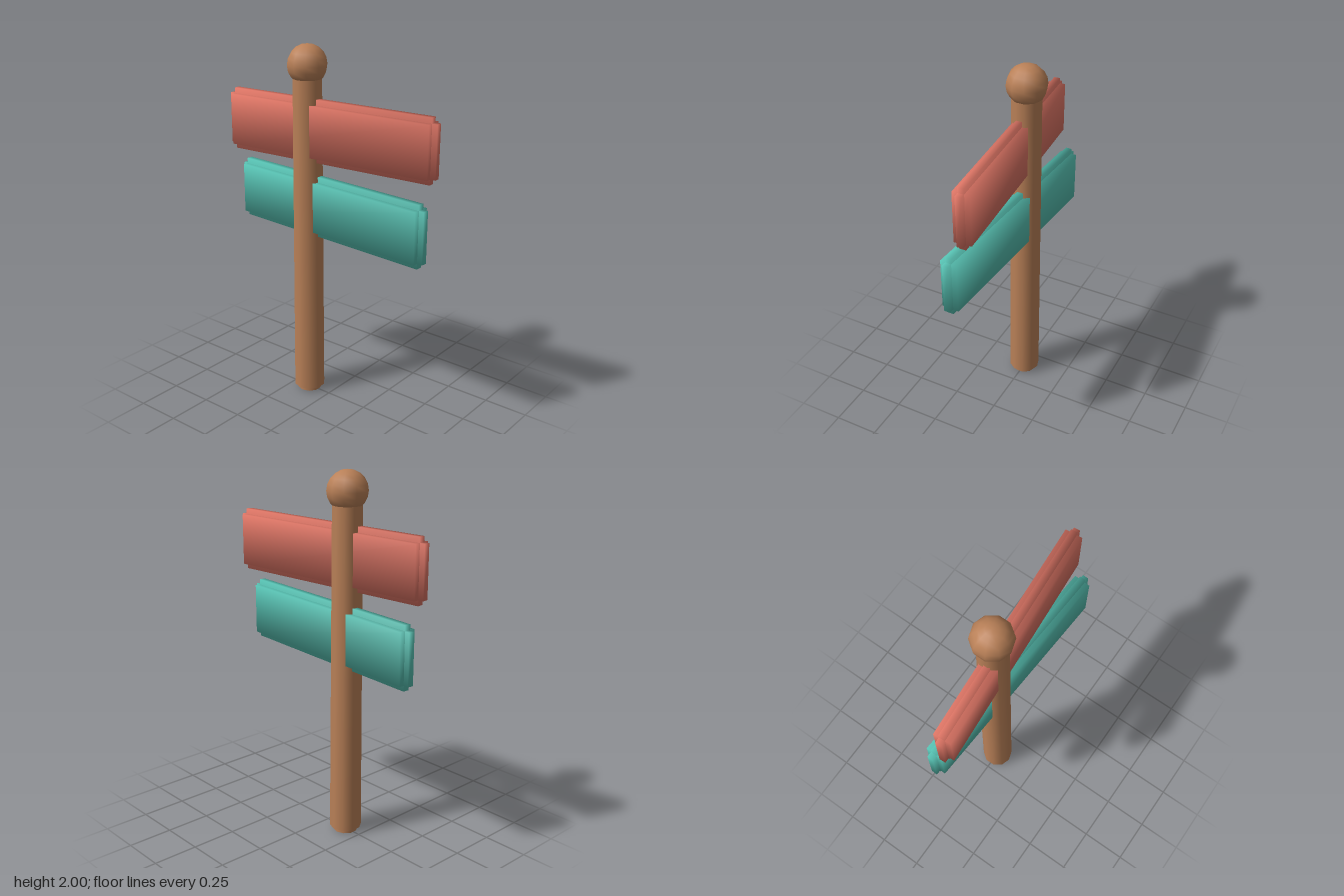
import * as THREE from 'three';

const wood = new THREE.MeshStandardMaterial({ color: 0xb98057 });
wood.name = 'wood';
const red = new THREE.MeshStandardMaterial({ color: 0xde7565 });
red.name = 'coral red';
const teal = new THREE.MeshStandardMaterial({ color: 0x57c2b3 });
teal.name = 'teal';

const POST_X = -0.143;
const SIDES = 10;

function addMesh(parent, name, geometry, material, x, y) {
  const mesh = new THREE.Mesh(geometry, material);
  mesh.name = name;
  mesh.position.set(x, y, 0);
  parent.add(mesh);
  return mesh;
}

// Box whose corner normals point diagonally outwards, for soft shading
function softBox(w, h, d) {
  const geometry = new THREE.BoxGeometry(w, h, d);
  const { position, normal } = geometry.attributes;
  const n = new THREE.Vector3();
  for (let i = 0; i < position.count; i++) {
    n.set(
      Math.sign(position.getX(i)),
      Math.sign(position.getY(i)),
      Math.sign(position.getZ(i))
    ).normalize();
    normal.setXYZ(i, n.x, n.y, n.z);
  }
  return geometry;
}

// Board with stepped edges: three crossing slabs, each full size on one axis
function board(name, material, y, turn) {
  const size = [1.28, 0.34, 0.094];
  const step = 0.06;
  const group = new THREE.Group();
  group.name = name;
  ['boardEnds', 'boardEdges', 'boardFaces'].forEach((part, axis) => {
    const dims = size.map((s, i) => (i === axis ? s : s - step));
    addMesh(group, part, softBox(...dims), material, 0, 0);
  });
  group.position.y = y;
  group.rotation.y = turn;
  return group;
}

export function createModel() {
  const model = new THREE.Group();
  model.name = 'signpost';

  // Tapered post on a slightly narrower foot
  const shaft = new THREE.CylinderGeometry(0.079, 0.0875, 1.835, SIDES);
  addMesh(model, 'post', shaft, wood, POST_X, 0.025 + 1.835 / 2);
  const foot = new THREE.CylinderGeometry(0.067, 0.067, 0.03, SIDES);
  addMesh(model, 'postFoot', foot, wood, POST_X, 0.015);

  // Round finial
  const ball = new THREE.SphereGeometry(0.108, SIDES, 10);
  addMesh(model, 'finial', ball, wood, POST_X, 1.892).rotation.y = Math.PI / 2;

  // Two boards, turned opposite ways
  model.add(board('upperBoard', red, 1.55, 0.08));
  model.add(board('lowerBoard', teal, 1.13, -0.06));
  return model;
}
